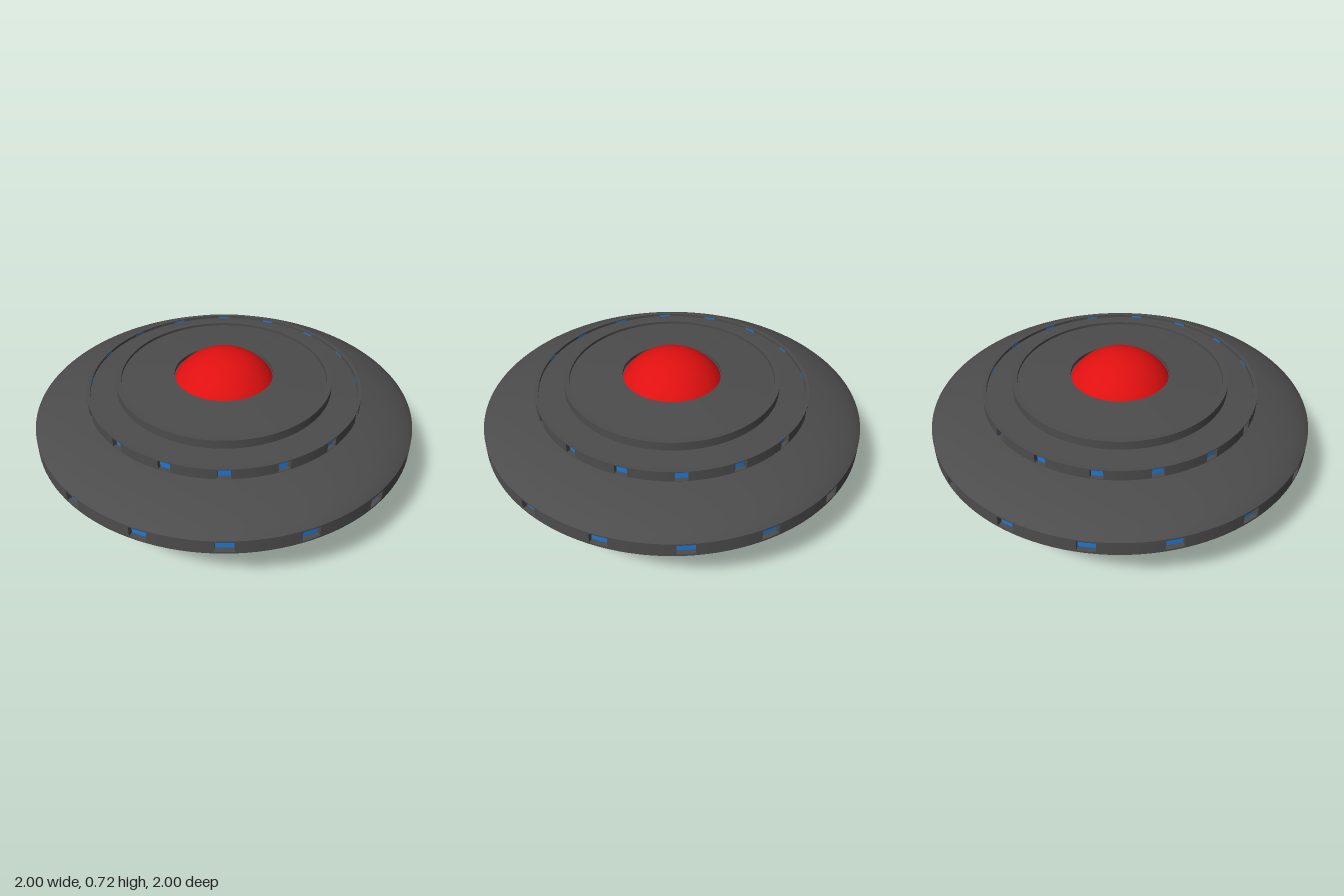
import * as THREE from 'three';
import { mergeGeometries, toCreasedNormals } from 'three/addons/utils/BufferGeometryUtils.js';

const SEGMENTS = 128;
const COUNT = 16; // windows per band
const PITCH = (Math.PI * 2) / COUNT;
const OFFSET = THREE.MathUtils.degToRad(2.9); // azimuth of the first window

const hull = new THREE.MeshStandardMaterial({ color: 0x4c4c4c, side: THREE.DoubleSide });
const glass = new THREE.MeshStandardMaterial({ color: 0x1e78d8, side: THREE.DoubleSide });
const red = new THREE.MeshStandardMaterial({ color: 0xe01010 });

function mesh(name, geometry, material) {
  const m = new THREE.Mesh(geometry, material);
  m.name = name;
  return m;
}

// Revolves [radius, height] points, keeping hard edges sharp
function revolve(points, segments = SEGMENTS, start = 0, length = Math.PI * 2) {
  const profile = points.map(([r, y]) => new THREE.Vector2(r, y));
  return toCreasedNormals(new THREE.LatheGeometry(profile, segments, start, length), 0.4);
}

// Points along a curved stretch of the profile
function bend(a, control, b) {
  const v = (p) => new THREE.Vector2(...p);
  return new THREE.QuadraticBezierCurve(v(a), v(control), v(b))
    .getPoints(12).map((p) => [p.x, p.y]);
}

// Upright band from y0 to y1 pierced by evenly spaced recessed windows from w0 to w1
function windowBand(name, { r, y0, y1, w0, w1, width, depth }) {
  const group = new THREE.Group();
  group.name = name;
  const angle = width / r;
  const inner = r - depth;
  const walls = [revolve([[r, y0], [r, w0]]), revolve([[r, w1], [r, y1]])];
  const panes = [];
  for (let i = 0; i < COUNT; i++) {
    const start = OFFSET + i * PITCH - angle / 2;
    // Solid wall up to the next window
    walls.push(revolve([[r, w0], [r, w1]], 6, start + angle, PITCH - angle));
    // Sill and head of the recess
    walls.push(revolve([[r, w0], [inner, w0]], 2, start, angle));
    walls.push(revolve([[inner, w1], [r, w1]], 2, start, angle));
    // Side jambs
    for (const a of [start, start + angle]) {
      const jamb = new THREE.PlaneGeometry(depth, w1 - w0);
      jamb.translate(r - depth / 2, (w0 + w1) / 2, 0);
      jamb.rotateY(a - Math.PI / 2);
      walls.push(jamb.toNonIndexed());
    }
    panes.push(revolve([[inner, w0], [inner, w1]], 2, start, angle));
  }
  group.add(mesh(name + 'Wall', mergeGeometries(walls), hull));
  group.add(mesh(name + 'Windows', mergeGeometries(panes), glass));
  return group;
}

export function createModel() {
  const model = new THREE.Group();
  model.name = 'flyingSaucer';

  // Belly: recessed port, short collar, flared skirt and curved underside
  model.add(mesh('lowerHull', revolve([
    [0.4, 0.06], [0.4, 0], [0.415, 0], [0.415, 0.065], [0.63, 0.065],
    ...bend([0.72, 0.228], [0.93, 0.265], [1, 0.325]),
  ]), hull));

  // Glowing port underneath
  const port = new THREE.CircleGeometry(0.4, SEGMENTS);
  port.rotateX(Math.PI / 2);
  port.translate(0, 0.06, 0);
  model.add(mesh('bellyPort', port, glass));

  // Outer rim with windows
  model.add(windowBand('rim', {
    r: 1, y0: 0.325, y1: 0.4, w0: 0.335, w1: 0.391, width: 0.088, depth: 0.025,
  }));

  // Curved upper shell
  model.add(mesh('upperHull', revolve(bend([1, 0.4], [0.94, 0.458], [0.72, 0.503])), hull));

  // Raised upper ring with windows
  model.add(windowBand('upperRing', {
    r: 0.72, y0: 0.495, y1: 0.56, w0: 0.505, w1: 0.555, width: 0.062, depth: 0.022,
  }));

  // Stepped deck: two lips with shallow sunken floors and the dome seat
  model.add(mesh('deck', revolve([
    [0.72, 0.56], [0.7, 0.56], [0.7, 0.545], [0.565, 0.553], [0.565, 0.6],
    [0.538, 0.6], [0.538, 0.586], [0.26, 0.606], [0.26, 0.588], [0.23, 0.588],
  ]), hull));

  // Domed top
  const dome = new THREE.SphereGeometry(0.31, 64, 20, 0, Math.PI * 2, 0, 0.98);
  dome.translate(0, 0.412, 0);
  model.add(mesh('dome', dome, red));

  return model;
}
